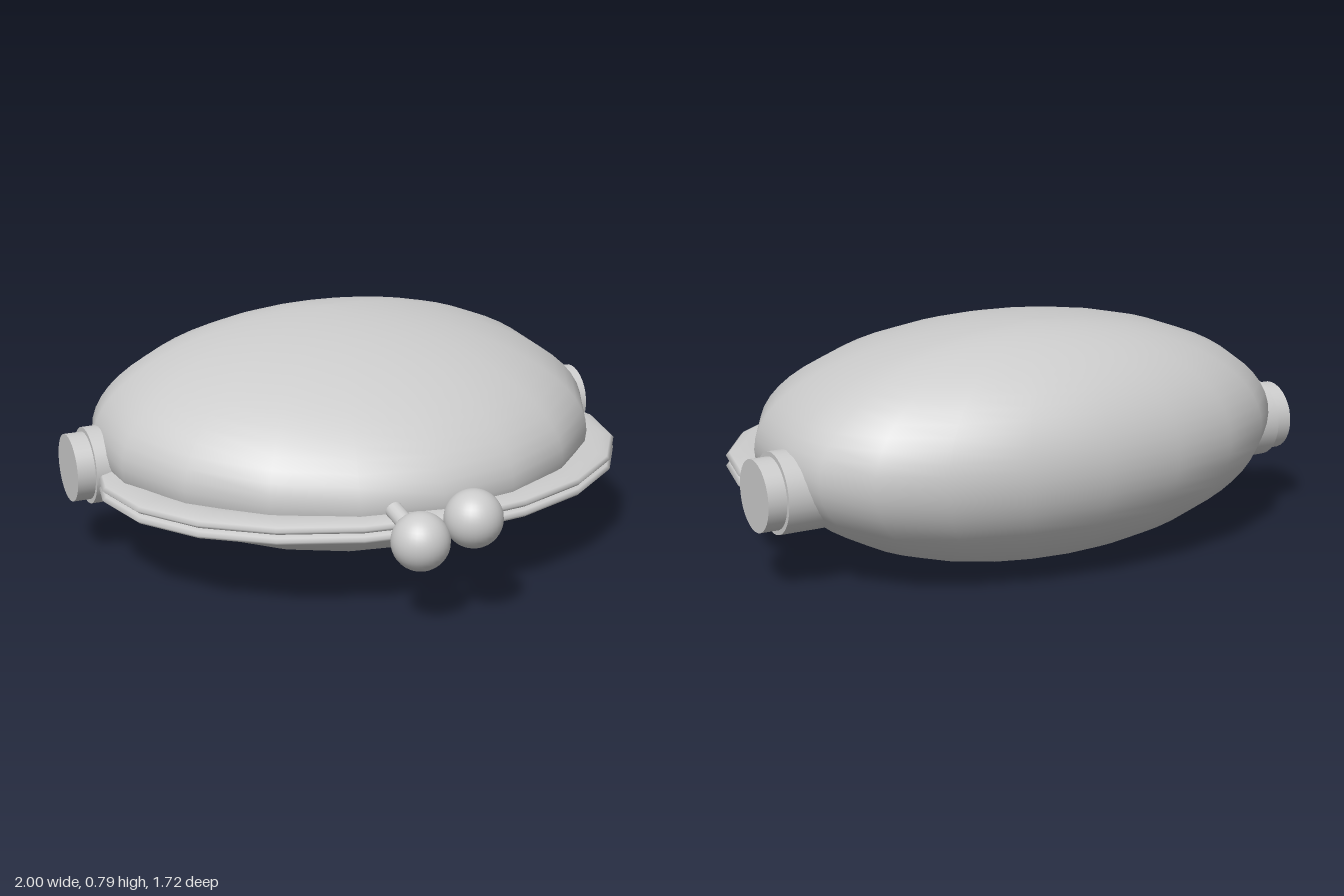
import * as THREE from 'three';

const material = new THREE.MeshStandardMaterial({ color: 0xcccccc });

function addMesh(parent, geometry, name) {
  const mesh = new THREE.Mesh(geometry, material);
  mesh.name = name;
  parent.add(mesh);
  return mesh;
}

// Ellipsoid whose front half is stretched, lowered and slightly flattened
function pouchGeometry() {
  const geometry = new THREE.SphereGeometry(1, 20, 32);
  const p = geometry.attributes.position;
  for (let i = 0; i < p.count; i++) {
    const x = p.getX(i), y = p.getY(i), z = p.getZ(i);
    const t = Math.max(z, 0);
    p.setXYZ(
      i,
      0.9 * x * (1 + 0.18 * t * (1 - t)),
      0.4 + 0.397 * y * (1 - 0.09 * t * t) - 0.04 * t * t,
      -0.37 + z * (z > 0 ? 0.96 : 0.49)
    );
  }
  geometry.computeVertexNormals();
  // Share the normals across the sphere's seam
  const n = geometry.attributes.normal, v = new THREE.Vector3();
  for (let row = 0; row <= 32; row++) {
    const a = row * 21, b = a + 20;
    v.fromBufferAttribute(n, a).add(new THREE.Vector3().fromBufferAttribute(n, b)).normalize();
    n.setXYZ(a, v.x, v.y, v.z);
    n.setXYZ(b, v.x, v.y, v.z);
  }
  return geometry;
}

// Flat lens-section rim running round the front from hinge to hinge
function rimGeometry() {
  const arc = Math.PI * 1.2;
  const geometry = new THREE.TorusGeometry(0.86, 0.095, 12, 12, arc);
  geometry.rotateZ(Math.PI / 2 - arc / 2);
  geometry.rotateX(Math.PI / 2);
  geometry.scale(1, 0.24, 0.77);
  return geometry;
}

// Straight rod between two points
function rodGeometry(from, to, radius) {
  return new THREE.TubeGeometry(new THREE.LineCurve3(from, to), 1, radius, 16, false);
}

export function createModel() {
  const model = new THREE.Group();
  model.name = 'claspPurse';

  addMesh(model, pouchGeometry(), 'pouch');

  // Two halves of the clasp frame
  for (const [name, y] of [['upperRim', 0.323], ['lowerRim', 0.287]]) {
    addMesh(model, rimGeometry(), name).position.set(0, y, -0.09);
  }

  // Stepped hinge on each side
  for (const [name, side] of [['leftHinge', 1], ['rightHinge', -1]]) {
    const hinge = new THREE.Group();
    hinge.name = name;
    hinge.position.set(0, 0.33, -0.34);
    for (const [part, radius, inner, outer] of [
      ['hingeBarrel', 0.135, 0.66, 0.937],
      ['hingeCap', 0.119, 0.9, 1.0],
    ]) {
      const geometry = new THREE.CylinderGeometry(radius, radius, outer - inner, 32);
      geometry.rotateZ(Math.PI / 2);
      addMesh(hinge, geometry, part).position.x = side * (inner + outer) / 2;
    }
    model.add(hinge);
  }

  // Crossing clasp knobs, one on each rim
  const knobs = [
    ['rightKnob', new THREE.Vector3(-0.155, 0.31, 0.732), new THREE.Vector3(-0.17, 0.36, 0.56)],
    ['leftKnob', new THREE.Vector3(0.02, 0.37, 0.758), new THREE.Vector3(0.095, 0.265, 0.61)],
  ];
  for (const [name, centre, root] of knobs) {
    const knob = new THREE.Group();
    knob.name = name;
    addMesh(knob, new THREE.SphereGeometry(0.097, 32, 20), 'ball').position.copy(centre);
    addMesh(knob, rodGeometry(root, centre, 0.03), 'stem').material =
      new THREE.MeshStandardMaterial({ color: 0xcccccc, side: THREE.DoubleSide });
    model.add(knob);
  }

  return model;
}
